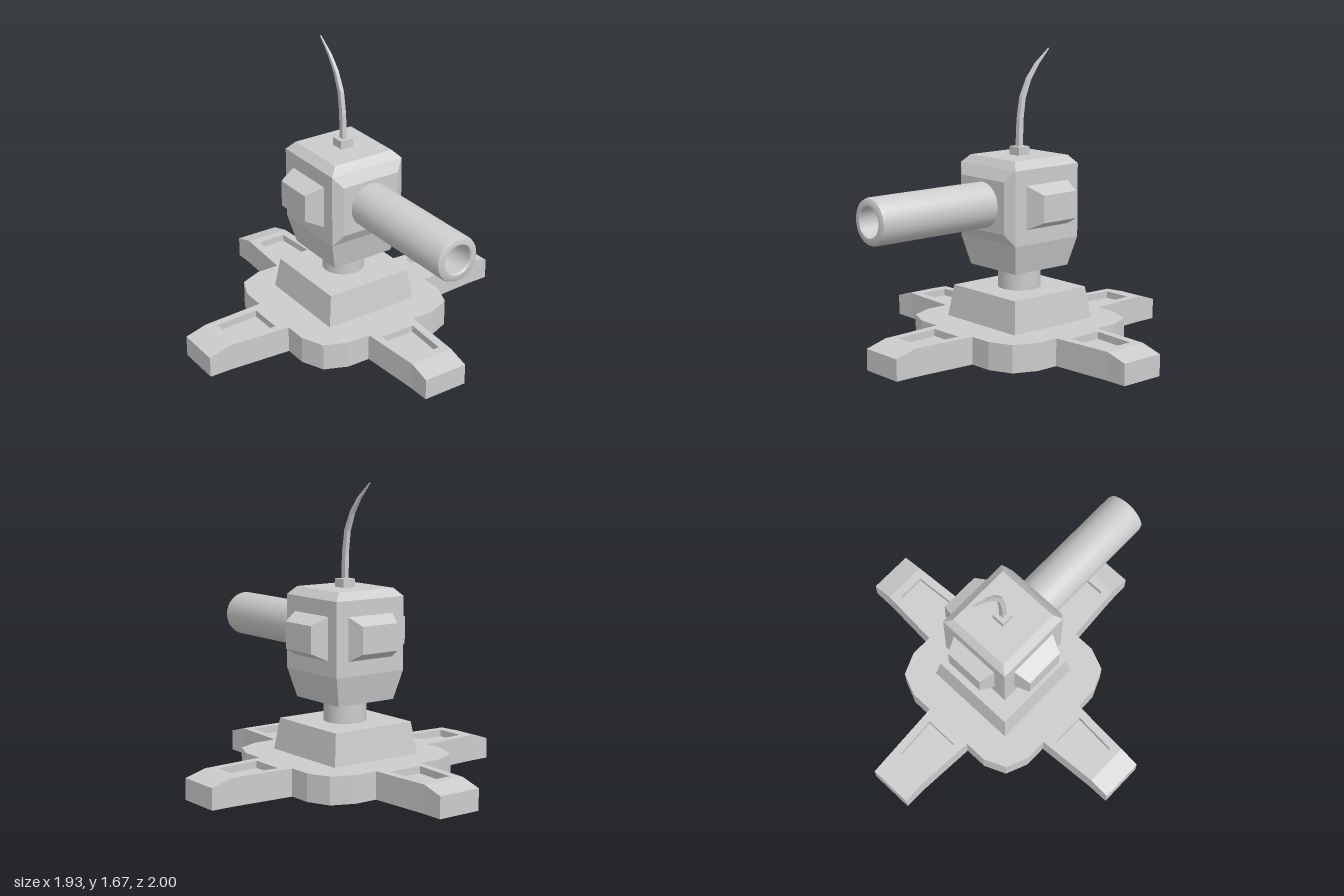
import * as THREE from 'three';
import { toCreasedNormals } from 'three/addons/utils/BufferGeometryUtils.js';

const CZ = -0.034; // depth of the turret's vertical axis
const grey = new THREE.MeshStandardMaterial({ color: 0xcccccc, flatShading: true });
const smooth = new THREE.MeshStandardMaterial({ color: 0xcccccc });

// Rectangle ring at height y, counter-clockwise seen from above
const rect = (y, hx, hz, z = 0) => [[-hx, y, z + hz], [hx, y, z + hz], [hx, y, z - hz], [-hx, y, z - hz]];

// Closed, flat-shaded solid through a list of four-cornered rings
function loft(rings) {
  const pos = [];
  const quad = (a, b, c, d) => pos.push(...a, ...b, ...c, ...a, ...c, ...d);
  for (let r = 0; r < rings.length - 1; r++) {
    for (let i = 0; i < 4; i++) {
      const j = (i + 1) % 4;
      quad(rings[r][i], rings[r][j], rings[r + 1][j], rings[r + 1][i]);
    }
  }
  const [a, b, c, d] = rings[0];
  quad(d, c, b, a);
  quad(...rings[rings.length - 1]);
  const geo = new THREE.BufferGeometry();
  geo.setAttribute('position', new THREE.Float32BufferAttribute(pos, 3));
  geo.computeVertexNormals();
  return geo;
}

// Points of a plan shape turned by quarter turns
function quarter(points, k) {
  const origin = new THREE.Vector2();
  return points.map(([x, y]) => new THREE.Vector2(x, y).rotateAround(origin, k * Math.PI / 2));
}

export function createModel() {
  const model = new THREE.Group();
  const add = (name, geo, material = grey, parent = model) => {
    const mesh = new THREE.Mesh(geo, material);
    mesh.name = name;
    parent.add(mesh);
    return mesh;
  };
  const slab = (shape, depth) =>
    new THREE.ExtrudeGeometry(shape, { depth, bevelEnabled: false }).rotateX(-Math.PI / 2);

  // Cross-shaped base: hub, four tapering legs, sunken panels and sloping feet
  const base = new THREE.Group();
  base.name = 'base';
  base.position.z = CZ;
  model.add(base);
  const arm = [[0.475, -0.29], [0.475, -0.155], [0.84, -0.132], [0.84, 0.132], [0.475, 0.155], [0.475, 0.29], [0.42, 0.42]];
  const panel = [[0.53, -0.104], [0.79, -0.086], [0.79, 0.086], [0.53, 0.104]];
  const foot = new THREE.Shape([[0.84, 0], [0.965, 0], [0.965, 0.12], [0.84, 0.155]].map(p => new THREE.Vector2(...p)));
  const outline = [];
  const holes = [];
  for (let k = 0; k < 4; k++) {
    outline.push(...quarter(arm, k));
    const hole = quarter(panel, k);
    holes.push(new THREE.Path(hole));
    add('legPanelFloor', slab(new THREE.Shape(hole), 0.115), grey, base);
    const tip = new THREE.ExtrudeGeometry(foot, { depth: 0.264, bevelEnabled: false });
    tip.translate(0, 0, -0.132).rotateY(k * Math.PI / 2);
    add('legTip', tip, grey, base);
  }
  const plan = new THREE.Shape(outline);
  plan.holes = holes;
  add('hubAndLegs', slab(plan, 0.155), grey, base);

  // Pedestal and swivel neck
  add('pedestal', loft([rect(0.155, 0.287, 0.287), rect(0.335, 0.262, 0.262)])).position.z = CZ;
  add('neck', new THREE.CylinderGeometry(0.12, 0.12, 0.14, 32), smooth).position.set(0, 0.395, CZ);

  // Head with a raised front plate
  add('head', loft([
    rect(0.46, 0.19, 0.194), rect(0.625, 0.231, 0.231),
    rect(1.04, 0.231, 0.231), rect(1.085, 0.187, 0.195),
  ])).position.z = CZ + 0.002;
  const plate = loft([rect(0, 0.231, 0.2075), rect(0.036, 0.18, 0.145)]).rotateX(Math.PI / 2);
  add('frontPlate', plate).position.set(0, 0.833, 0.199);

  // Tapered pods on the back and both sides
  for (const [name, turn, x, z] of [
    ['backPod', 0, 0, -0.262], ['leftPod', -1, 0.23, -0.033], ['rightPod', 1, -0.23, -0.033],
  ]) {
    const inset = turn ? 0.01 : 0;
    const geo = loft([rect(0, 0.153, 0.122), rect(turn ? 0.096 : 0.085, 0.119, 0.076)]);
    if (inset) {
      // outer face of the side pods sits slightly forward
      const p = geo.attributes.position;
      for (let i = 0; i < p.count; i++) if (p.getY(i) > 0) p.setX(i, p.getX(i) + turn * inset);
    }
    geo.rotateX(-Math.PI / 2).rotateY(turn * Math.PI / 2);
    if (inset) geo.computeVertexNormals();
    const pod = add(name, geo);
    pod.position.set(x, 0.831, z);
    // keep the forward shift towards +z on both sides
    if (turn) {
      geo.computeBoundingBox();
    }
  }

  // Barrel with rounded muzzle and hollow bore
  const profile = [
    [0.128, 0.2], [0.128, 0.974], [0.123, 0.99], [0.108, 0.998],
    [0.086, 0.998], [0.08, 0.99], [0.08, 0.8], [0, 0.8],
  ].map(p => new THREE.Vector2(...p));
  const barrel = toCreasedNormals(new THREE.LatheGeometry(profile, 32), 0.6).rotateX(Math.PI / 2);
  add('barrel', barrel, smooth).position.y = 0.832;

  // Antenna socket and swept whip
  add('antennaSocket', new THREE.BoxGeometry(0.078, 0.05, 0.078)).position.set(0, 1.107, CZ);
  const whip = [
    [1.12, -0.032, 0.016], [1.28, -0.038, 0.015], [1.4, -0.056, 0.014],
    [1.5, -0.1, 0.012], [1.58, -0.16, 0.009], [1.665, -0.252, 0.003],
  ];
  const rings = whip.map(([y, z, r], i) => {
    const a = whip[Math.max(i - 1, 0)], b = whip[Math.min(i + 1, whip.length - 1)];
    const tilt = Math.atan2(b[1] - a[1], b[0] - a[0]);
    return rect(0, r * 0.85, r).map(([px, , pz]) => [px, y - pz * Math.sin(tilt), z + pz * Math.cos(tilt)]);
  });
  add('antenna', loft(rings));
  return model;
}
